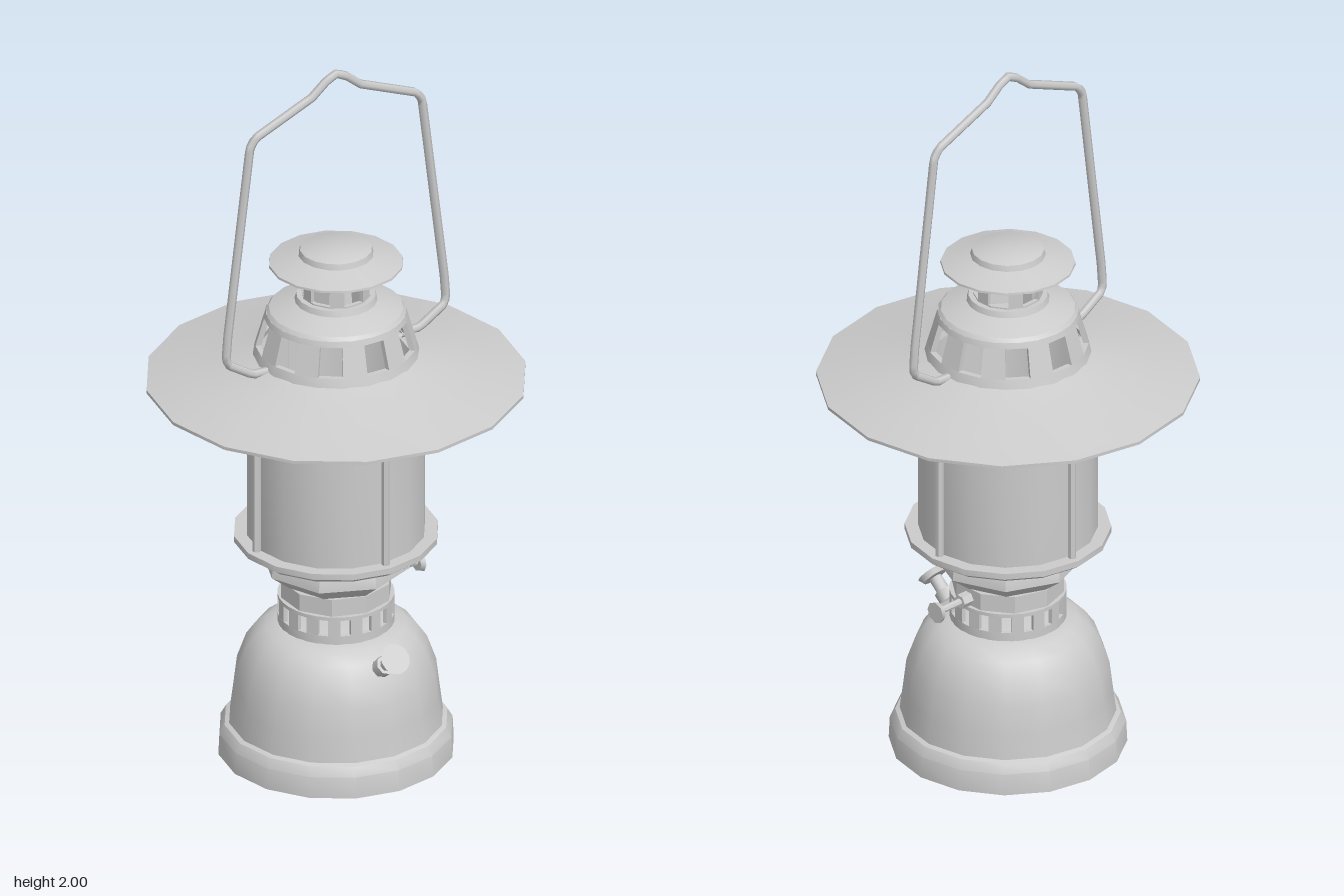
import * as THREE from 'three';
import { toCreasedNormals, mergeGeometries } from 'three/addons/utils/BufferGeometryUtils.js';

const material = new THREE.MeshStandardMaterial({ color: 0xcccccc, side: THREE.DoubleSide });

function addMesh(parent, name, geometry) {
  const mesh = new THREE.Mesh(geometry, material);
  mesh.name = name;
  parent.add(mesh);
  return mesh;
}

// Turned part from [radius, height] pairs, listed bottom to top
function turned(parent, name, profile, sides = 16) {
  const geometry = new THREE.LatheGeometry(profile.map(([r, y]) => new THREE.Vector2(r, y)), sides);
  return addMesh(parent, name, toCreasedNormals(geometry, 0.5));
}

// Solid slice of a conical wall, closed on all sides
function wedge([r0, y0], [r1, y1], wall, phi, length, segments = 1) {
  const corners = [[r0 - wall, y0], [r0, y0], [r1, y1], [r1 - wall, y1]].map(([r, y]) => new THREE.Vector2(r, y));
  const slice = new THREE.LatheGeometry([...corners, corners[0]], segments, phi, length);
  const pieces = [slice];
  if (length < 6.28) {
    for (const angle of [phi, phi + length]) {
      pieces.push(new THREE.ShapeGeometry(new THREE.Shape(corners)).rotateY(angle - Math.PI / 2));
    }
  }
  return mergeGeometries(pieces.map((g) => toCreasedNormals(g, 0.5)));
}

// Conical wall with evenly spaced openings; the first opening is at the front
function slottedBand(parent, name, [r0, y0], [r1, y1], wall, count, low, high, open) {
  const at = (y) => [r0 + ((r1 - r0) * (y - y0)) / (y1 - y0), y];
  const step = (Math.PI * 2) / count;
  const pieces = [];
  if (low > y0) pieces.push(wedge([r0, y0], at(low), wall, step / 2 * open, Math.PI * 2, count * 2));
  if (high < y1) pieces.push(wedge(at(high), [r1, y1], wall, step / 2 * open, Math.PI * 2, count * 2));
  for (let i = 0; i < count; i++) {
    pieces.push(wedge(at(low), at(high), wall, step * (i + open / 2), step * (1 - open)));
  }
  return addMesh(parent, name, mergeGeometries(pieces));
}

// Straight round piece along local y
function rod(parent, name, rTop, rBottom, height, y, sides = 8) {
  const geometry = new THREE.CylinderGeometry(rTop, rBottom, height, sides).translate(0, y, 0);
  return addMesh(parent, name, toCreasedNormals(geometry, 0.9));
}

export function createModel() {
  const model = new THREE.Group();
  model.name = 'lantern';
  const lamp = new THREE.Group();
  lamp.name = 'lanternBody';
  lamp.rotation.y = 0.28;
  model.add(lamp);

  // Fuel tank with stepped foot
  turned(lamp, 'fuelTank', [
    [0, 0], [0.315, 0], [0.312, 0.06], [0.298, 0.085], [0.286, 0.09], [0.277, 0.16], [0.268, 0.235],
    [0.243, 0.305], [0.217, 0.342], [0.187, 0.366], [0.15, 0.378], [0, 0.378],
  ]);

  // Burner collar
  slottedBand(lamp, 'burnerCollar', [0.155, 0.375], [0.155, 0.456], 0.012, 16, 0.4, 0.446, 0.45);
  turned(lamp, 'collarBand', [[0, 0.456], [0.15, 0.456], [0.15, 0.505], [0, 0.505]], 10);

  // Faceted flare and gallery plate
  turned(lamp, 'flare', [[0.14, 0.5], [0.2, 0.548], [0.195, 0.592], [0.175, 0.62]], 8);
  turned(lamp, 'galleryPlate', [[0, 0.612], [0.255, 0.612], [0.273, 0.625], [0.273, 0.642], [0, 0.642]]);

  // Globe and guard rods
  turned(lamp, 'globe', [[0.238, 0.64], [0.238, 1.13]], 16);
  for (let i = 0; i < 4; i++) {
    const guard = rod(lamp, 'guardRod', 0.011, 0.011, 0.49, 0.88, 6);
    guard.position.set(Math.sin(i * Math.PI / 2) * 0.247, 0, Math.cos(i * Math.PI / 2) * 0.247);
  }

  // Wide shade
  turned(lamp, 'shade', [
    [0.2, 1.15], [0.507, 1.085], [0.507, 1.094], [0.4, 1.119], [0.3, 1.144], [0.25, 1.158], [0.2, 1.174],
  ]);

  // Vented hood with rounded shoulder
  slottedBand(lamp, 'ventedHood', [0.221, 1.165], [0.186, 1.288], 0.015, 10, 1.192, 1.272, 0.5);
  turned(lamp, 'hoodShoulder', [[0.186, 1.288], [0.178, 1.298], [0.13, 1.316], [0.11, 1.322], [0.105, 1.338], [0.08, 1.338]], 20);

  // Chimney posts and cap
  slottedBand(lamp, 'chimneyPosts', [0.092, 1.325], [0.092, 1.44], 0.012, 6, 1.342, 1.43, 0.6);
  turned(lamp, 'chimneyCap', [
    [0, 1.432], [0.17, 1.426], [0.179, 1.428], [0.178, 1.434], [0.1, 1.456], [0.096, 1.472], [0.09, 1.475], [0, 1.475],
  ]);

  // Bent wire handle
  const half = [[0.2, 1.165], [0.26, 1.168], [0.335, 1.215], [0.342, 1.235], [0.337, 1.3], [0.268, 1.84],
    [0.252, 1.865], [0.075, 1.938], [0.03, 1.975]];
  const points = [...half, [0, 1.988], ...half.map(([x, y]) => [-x, y]).reverse()]
    .map(([x, y]) => new THREE.Vector3(x, y, 0));
  const path = new THREE.CurvePath();
  for (let i = 1; i < points.length; i++) path.add(new THREE.LineCurve3(points[i - 1], points[i]));
  addMesh(lamp, 'handle', new THREE.TubeGeometry(path, 120, 0.012, 6));

  // Control valve on the left side
  const valve = new THREE.Group();
  valve.name = 'controlValve';
  valve.position.set(0.14, 0.475, 0);
  valve.rotation.z = -Math.PI / 2;
  rod(valve, 'valveNut', 0.02, 0.02, 0.04, 0.015, 6);
  rod(valve, 'valveStem', 0.01, 0.01, 0.11, 0.06);
  rod(valve, 'valveWheel', 0.03, 0.026, 0.014, 0.116);
  lamp.add(valve);

  // Tilted filler cap on the front of the tank
  const filler = new THREE.Group();
  filler.name = 'fillerCap';
  filler.position.set(0, 0.315, 0.21);
  filler.rotation.x = 0.9;
  rod(filler, 'fillerNeck', 0.027, 0.027, 0.06, 0.02, 8);
  rod(filler, 'fillerStem', 0.018, 0.018, 0.05, 0.065, 8);
  rod(filler, 'fillerKnob', 0.042, 0.034, 0.016, 0.1, 12);
  lamp.add(filler);

  return model;
}
